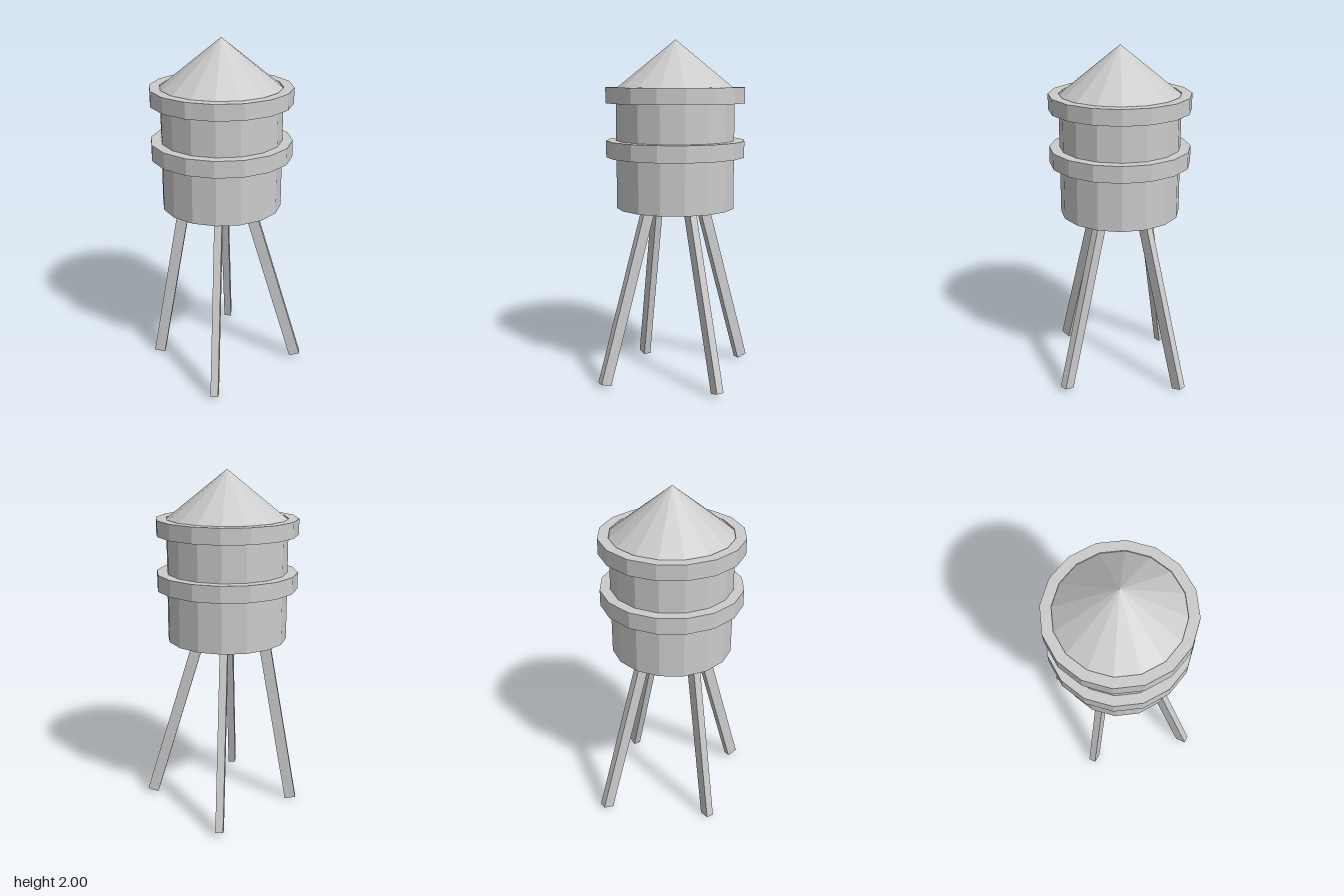
import * as THREE from 'three';

const SIDES = 16;
const BODY_R = 0.347, BAND_R = 0.406;
const CENTRE_X = -0.034;

export function createModel() {
  const model = new THREE.Group();
  model.name = 'waterTower';
  const tower = new THREE.Group();
  tower.name = 'tower';
  tower.position.x = CENTRE_X;
  model.add(tower);

  const grey = new THREE.MeshStandardMaterial({ color: 0xcccccc, flatShading: true });

  function add(name, geometry) {
    const mesh = new THREE.Mesh(geometry, grey);
    mesh.name = name;
    tower.add(mesh);
    return mesh;
  }

  // Tank body
  const bottom = 1.03, top = 1.722;
  add('tank', new THREE.CylinderGeometry(BODY_R, BODY_R, top - bottom, SIDES))
    .position.y = (bottom + top) / 2;

  // Conical roof, seated just inside the upper band
  add('roof', new THREE.ConeGeometry(BODY_R, 2 - top, SIDES)).position.y = (2 + top) / 2;

  // Two rings around the tank
  function band(name, y0, y1) {
    const profile = [[BODY_R, y0], [BAND_R, y0], [BAND_R, y1], [BODY_R, y1], [BODY_R, y0]];
    add(name, new THREE.LatheGeometry(profile.map(([r, y]) => new THREE.Vector2(r, y)), SIDES));
  }
  band('middleBand', 1.33, 1.425);
  band('upperBand', 1.64, 1.73);

  // Splayed legs: angle about y, foot radius, radius under the tank, foot height
  function leg(name, angle, footR, topR, footY) {
    const foot = new THREE.Vector3(footR, footY, 0);
    const dir = new THREE.Vector3(topR, bottom, 0).sub(foot);
    const length = dir.length() + 0.03;
    const geometry = new THREE.BoxGeometry(0.065, length, 0.044);
    geometry.translate(0, length / 2, 0);
    geometry.rotateZ(Math.atan2(-dir.x, dir.y));
    geometry.translate(foot.x, foot.y, foot.z);
    add(name, geometry).rotation.y = angle;
  }
  leg('leftLeg', 0, 0.459, 0.158, 0.023);
  leg('backLeg', Math.PI / 2, 0.482, 0.185, 0.018);
  leg('rightLeg', Math.PI, 0.396, 0.217, 0.007);
  leg('frontLeg', -Math.PI / 2, 0.482, 0.185, 0.018);

  return model;
}
